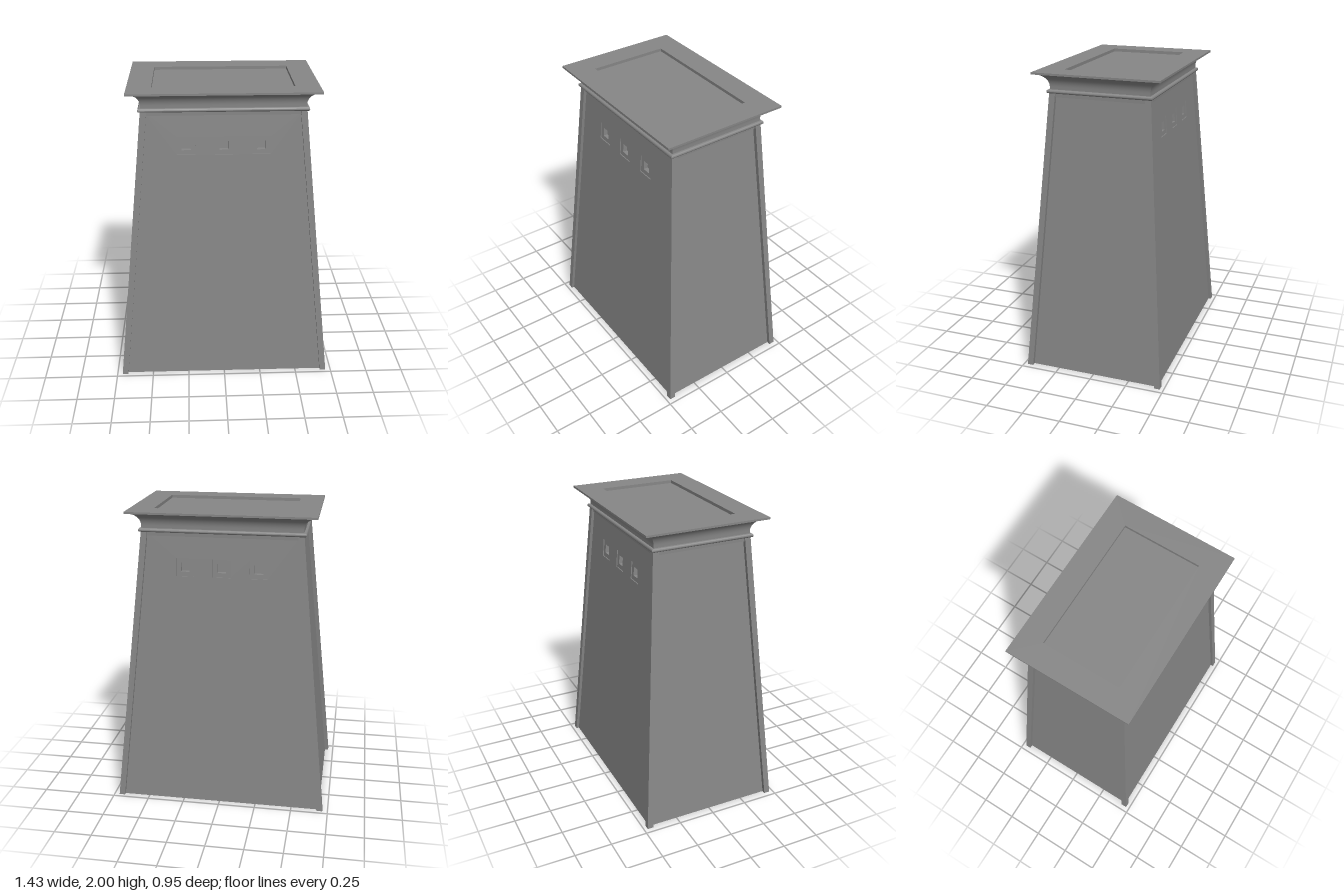
import * as THREE from 'three';
import { toCreasedNormals } from 'three/addons/utils/BufferGeometryUtils.js';

const H = 1.86; // height of the battered walls
const BOTTOM = { x: 0.69, z: 0.455 };
const TOP = { x: 0.5, z: 0.315 };
const material = new THREE.MeshStandardMaterial({ color: 0x868686, side: THREE.DoubleSide });

function add(parent, name, geometry) {
  const mesh = new THREE.Mesh(geometry, material);
  mesh.name = name;
  parent.add(mesh);
  return mesh;
}

// Shift vertices sideways in proportion to their height
function lean(geometry, x0, x1, z0, z1) {
  const p = geometry.attributes.position;
  for (let i = 0; i < p.count; i++) {
    const t = p.getY(i) / H;
    p.setX(i, p.getX(i) + THREE.MathUtils.lerp(x0, x1, t));
    p.setZ(i, p.getZ(i) + THREE.MathUtils.lerp(z0, z1, t));
  }
  geometry.computeVertexNormals();
  return geometry;
}

function square(PathType, cx, cy, size) {
  return new PathType([
    [-1, -1], [1, -1], [1, 1], [-1, 1],
  ].map(([sx, sy]) => new THREE.Vector2(cx + sx * size / 2, cy + sy * size / 2)));
}

// Panel following the slope of a wall, set back from its outer surface
function slopedPanel(shape, thickness, setBack, out) {
  const geometry = new THREE.ExtrudeGeometry(shape, { depth: thickness, bevelEnabled: false });
  geometry.translate(0, 0, -thickness - setBack);
  return lean(geometry, 0, 0, BOTTOM[out], TOP[out]);
}

// Trapezoid outline of a wall
function wallShape(across) {
  return new THREE.Shape([
    new THREE.Vector2(-BOTTOM[across], 0), new THREE.Vector2(BOTTOM[across], 0),
    new THREE.Vector2(TOP[across], H), new THREE.Vector2(-TOP[across], H),
  ]);
}

// Sweep a profile of [outset, y] points around a rectangle with mitred corners
function mitredRing(profile, hx, hz) {
  const corners = [[-1, 1], [1, 1], [1, -1], [-1, -1]];
  const at = ([sx, sz], [d, y]) => [sx * (hx + d), y, sz * (hz + d)];
  const positions = [];
  corners.forEach((a, k) => {
    const b = corners[(k + 1) % 4];
    for (let i = 0; i < profile.length - 1; i++) {
      const lo = profile[i], hi = profile[i + 1];
      positions.push(...at(a, lo), ...at(b, lo), ...at(b, hi), ...at(a, lo), ...at(b, hi), ...at(a, hi));
    }
  });
  const geometry = new THREE.BufferGeometry();
  geometry.setAttribute('position', new THREE.Float32BufferAttribute(positions, 3));
  return toCreasedNormals(geometry, 0.6);
}

export function createModel() {
  const model = new THREE.Group();
  model.name = 'taperedTower';
  const wallThickness = 0.007;

  // Front and back walls with three shallow stepped windows each
  const windowX = [-0.24, 0, 0.24], windowY = 1.635;
  const niche = 0.116, opening = 0.058, nicheDepth = 0.006, openingDepth = 0.03;
  for (const [side, angle] of [['front', 0], ['back', Math.PI]]) {
    const face = new THREE.Group();
    face.name = side + 'Face';
    face.rotation.y = angle;
    model.add(face);
    const wall = wallShape('x');
    wall.holes.push(...windowX.map((x) => square(THREE.Path, x, windowY, niche)));
    add(face, side + 'Wall', slopedPanel(wall, wallThickness, 0, 'z'));
    for (const x of windowX) {
      const frame = square(THREE.Shape, x, windowY, niche + 0.01);
      frame.holes.push(square(THREE.Path, x, windowY, opening));
      add(face, 'windowFrame', slopedPanel(frame, openingDepth, nicheDepth, 'z'));
      const back = square(THREE.Shape, x, windowY, opening + 0.01);
      add(face, 'windowBack', slopedPanel(back, 0.005, nicheDepth + openingDepth - 0.001, 'z'));
    }
  }

  // Plain end walls
  for (const [name, sign] of [['leftWall', 1], ['rightWall', -1]]) {
    const wall = add(model, name, slopedPanel(wallShape('z'), wallThickness, 0, 'x'));
    wall.rotation.y = sign * Math.PI / 2;
  }

  // Square mouldings along the four leaning corners
  const bar = 0.04;
  for (const sx of [-1, 1]) {
    for (const sz of [-1, 1]) {
      const geometry = new THREE.BoxGeometry(bar, H, bar).translate(0, H / 2, 0);
      lean(geometry, sx * 0.695, sx * 0.505, sz * 0.455, sz * 0.315);
      add(model, 'cornerMoulding', geometry);
    }
  }

  const hx = 0.522, hz = 0.33; // neck of the cornice

  // Flat band below the roll
  const band = [[-0.04, 1.835], [-0.006, 1.835], [-0.006, H], [-0.04, H]];
  add(model, 'upperBand', mitredRing(band, hx, hz));

  // Half-round roll
  const roll = [[-0.04, H]];
  for (let i = 0; i <= 8; i++) {
    const a = -Math.PI / 2 + (i / 8) * Math.PI;
    roll.push([0.005 + 0.0125 * Math.cos(a), H + 0.0125 + 0.0125 * Math.sin(a)]);
  }
  roll.push([-0.04, H + 0.025]);
  add(model, 'roll', mitredRing(roll, hx, hz));

  // Hollow-curved cornice with a sunken roof
  const r = 0.085, inset = 0.07, roofY = 1.98;
  const cornice = [[0, 1.88]];
  for (let i = 0; i <= 12; i++) {
    const a = (i / 12) * Math.PI / 2;
    cornice.push([r * (1 - Math.cos(a)), 1.902 + r * Math.sin(a)]);
  }
  cornice.push([0.087, 1.987], [0.087, 2], [-inset, 2], [-inset, roofY]);
  add(model, 'cornice', mitredRing(cornice, hx, hz));
  const roof = new THREE.PlaneGeometry(2 * (hx - inset), 2 * (hz - inset)).rotateX(-Math.PI / 2);
  add(model, 'roof', roof).position.y = roofY;

  return model;
}
